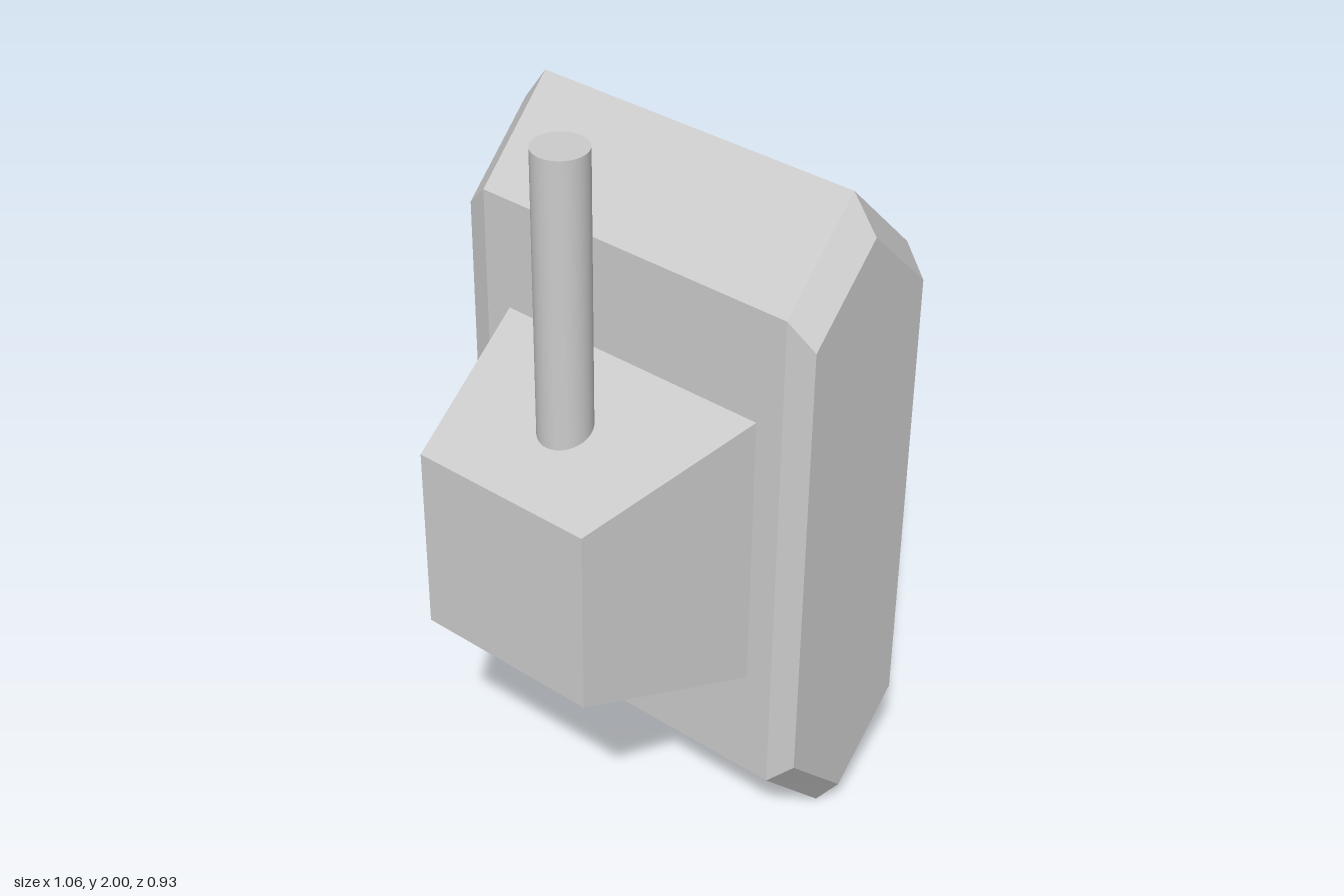
import * as THREE from 'three';

const material = new THREE.MeshStandardMaterial({ color: 0xcccccc, flatShading: true });
const smooth = new THREE.MeshStandardMaterial({ color: 0xcccccc });

// Closed, faceted skin over cross-sections (each counter-clockwise seen from the last one).
function loft(rings) {
  const pos = [];
  const tri = (...pts) => pts.forEach((p) => pos.push(...p));
  const n = rings[0].length;
  for (let i = 0; i < rings.length - 1; i++) {
    const a = rings[i], b = rings[i + 1];
    for (let j = 0; j < n; j++) {
      const k = (j + 1) % n;
      tri(a[j], a[k], b[k]);
      tri(a[j], b[k], b[j]);
    }
  }
  const first = rings[0], last = rings[rings.length - 1];
  for (let j = 1; j < n - 1; j++) {
    tri(first[0], first[j + 1], first[j]);
    tri(last[0], last[j], last[j + 1]);
  }
  const geo = new THREE.BufferGeometry();
  geo.setAttribute('position', new THREE.Float32BufferAttribute(pos, 3));
  geo.computeVertexNormals();
  return geo;
}

// Pointed six-sided section at x: half depth, peak half height, shoulder half height.
function hexSection(x, depth, peak, shoulder) {
  const cy = 0.93, cz = -0.232;
  return [[peak, 0], [shoulder, depth], [-shoulder, depth], [-peak, 0], [-shoulder, -depth], [shoulder, -depth]]
    .map(([y, z]) => [x, cy + y, cz + z]);
}

// Square section facing +z.
function squareSection(z, half) {
  return [[-1, -1], [1, -1], [1, 1], [-1, 1]].map(([x, y]) => [x * half, 0.93 + y * half, z]);
}

export function createModel() {
  const group = new THREE.Group();
  const add = (name, geo, mat = material) => {
    const mesh = new THREE.Mesh(geo, mat);
    mesh.name = name;
    group.add(mesh);
    return mesh;
  };

  // Hull with bevelled ends
  add('hull', loft([
    hexSection(-0.532, 0.209, 0.835, 0.628),
    hexSection(-0.464, 0.232, 0.93, 0.697),
    hexSection(0.464, 0.232, 0.93, 0.697),
    hexSection(0.532, 0.209, 0.835, 0.628),
  ]));

  // Tapered turret
  add('turret', loft([squareSection(0, 0.389), squareSection(0.464, 0.254)]));

  // Barrel, its lower end sunk into the turret
  const barrel = add('barrel', new THREE.CylinderGeometry(0.069, 0.069, 0.85, 32), smooth);
  barrel.position.set(0, 1.575, 0.231);

  return group;
}
